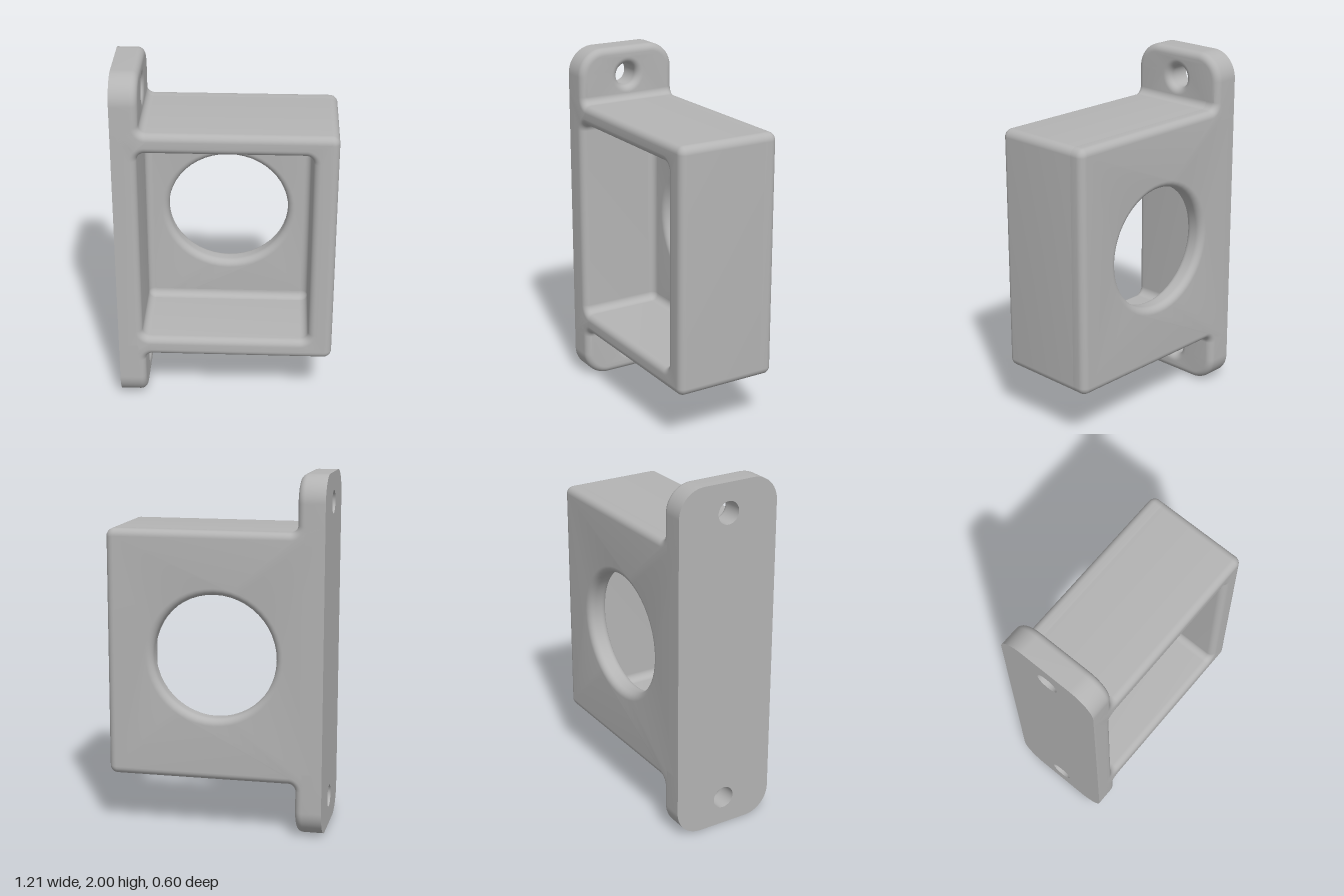
import * as THREE from 'three';
import { toCreasedNormals } from 'three/addons/utils/BufferGeometryUtils.js';

const EDGE = 0.04;            // radius of all rounded edges
const BACK = -0.605;          // x of the flat mounting face
const PI = Math.PI;

// Smooth the rounded edges while keeping sharp corners
function finish(geo) {
  geo.scale(100, 100, 100);
  const out = toCreasedNormals(geo, 0.5);
  return out.scale(0.01, 0.01, 0.01);
}

// Extrude between two depths with rounded rims
function roundedExtrude(shape, from, to) {
  const geo = new THREE.ExtrudeGeometry(shape, {
    depth: to - from - 2 * EDGE, curveSegments: 12,
    bevelThickness: EDGE, bevelSize: EDGE, bevelOffset: -EDGE, bevelSegments: 8,
  });
  return geo.translate(0, 0, from + EDGE);
}

// Cut a geometry flat at given limits
function clampAxis(geo, axis, min, max) {
  const p = geo.attributes.position;
  for (let i = 0; i < p.count; i++) {
    p.setComponent(i, axis, Math.min(max, Math.max(min, p.getComponent(i, axis))));
  }
  return geo;
}

function circlePath(x, y, r) {
  const path = new THREE.Path();
  path.absarc(x, y, r, 0, PI, false);
  path.absarc(x, y, r, PI, 2 * PI, false);
  return path;
}

function roundedRect(hx, hy, r) {
  const path = new THREE.Path();
  path.absarc(hx - r, 1 - hy + r, r, -PI / 2, 0, false);
  path.absarc(hx - r, 1 + hy - r, r, 0, PI / 2, false);
  path.absarc(-hx + r, 1 + hy - r, r, PI / 2, PI, false);
  path.absarc(-hx + r, 1 - hy + r, r, PI, 1.5 * PI, false);
  path.closePath();
  return path;
}

// Housing outline with concave fillets towards the mounting tabs
function housingShape(hole) {
  const s = new THREE.Shape();
  s.moveTo(-0.75, 0.1);
  s.lineTo(-0.455, 0.1);
  s.absarc(-0.415, 0.265, 0.04, PI, PI / 2, true);
  s.absarc(0.56, 0.35, 0.045, -PI / 2, 0, false);
  s.absarc(0.56, 1.65, 0.045, 0, PI / 2, false);
  s.absarc(-0.415, 1.735, 0.04, -PI / 2, -PI, true);
  s.lineTo(-0.455, 1.9);
  s.lineTo(-0.75, 1.9);
  s.closePath();
  s.holes.push(hole);
  return s;
}

function housingPart(hole, from, to) {
  const geo = roundedExtrude(housingShape(hole), from, to);
  clampAxis(geo, 0, BACK, 1);
  clampAxis(geo, 1, 0.265, 1.735);
  return finish(geo);
}

// Mounting tab with two large corners and a screw hole
function tabGeometry() {
  const s = new THREE.Shape();
  s.moveTo(-0.3, 1.63);
  s.lineTo(0.3, 1.63);
  s.absarc(0.15, 1.85, 0.15, 0, PI / 2, false);
  s.absarc(-0.15, 1.85, 0.15, PI / 2, PI, false);
  s.closePath();
  s.holes.push(circlePath(0, 1.836, 0.063));
  const geo = roundedExtrude(s, -0.75, -0.455).rotateY(PI / 2);
  return finish(clampAxis(geo, 0, BACK, 1));
}

// Concave fillet between the cavity walls and its floor
function cavityFillet() {
  const steps = 8, pos = [], idx = [];
  let n = 0;
  for (let i = 0; i <= steps; i++) {
    const a = (i / steps) * PI / 2;
    const d = EDGE * (1 - Math.cos(a));
    const pts = roundedRect(0.47 - d, 0.58 - d, 0.045 - d).getPoints(6);
    n = pts.length;
    for (const p of pts) pos.push(p.x, p.y, -0.14 - EDGE * Math.sin(a));
  }
  for (let i = 0; i < steps; i++) {
    for (let j = 0; j < n - 1; j++) {
      const a = i * n + j, c = a + n;
      idx.push(a, a + 1, c, a + 1, c + 1, c);
    }
  }
  const geo = new THREE.BufferGeometry();
  geo.setAttribute('position', new THREE.Float32BufferAttribute(pos, 3));
  geo.setIndex(idx);
  geo.computeVertexNormals();
  return geo;
}

export function createModel() {
  const group = new THREE.Group();
  group.name = 'mountingHousing';
  const grey = new THREE.MeshStandardMaterial({ color: 0xb4b4b4 });
  grey.name = 'grey';

  const add = (name, geo) => {
    const mesh = new THREE.Mesh(geo, grey);
    mesh.name = name;
    group.add(mesh);
  };

  // Open box: walls around the cavity, then the rear wall with its round opening
  add('housingWalls', housingPart(roundedRect(0.47, 0.58, 0.045), -0.26, 0.3));
  add('rearWall', housingPart(circlePath(0, 1, 0.345), -0.3, -0.18));
  add('cavityFillet', cavityFillet());

  // Matching tabs above and below
  add('upperTab', tabGeometry());
  add('lowerTab', tabGeometry().rotateX(PI).translate(0, 2, 0));
  return group;
}
